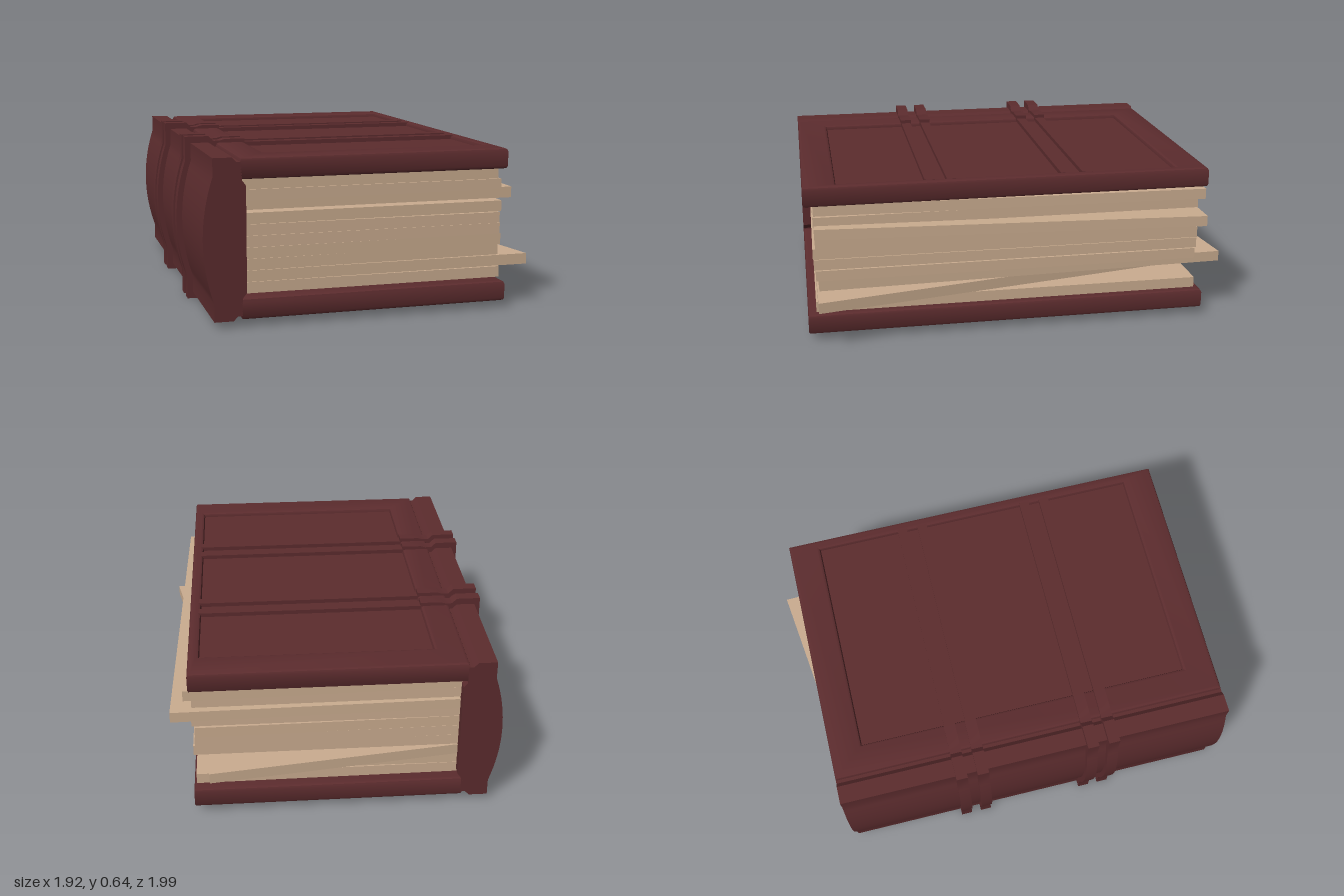
import * as THREE from 'three';
import { toCreasedNormals } from 'three/addons/utils/BufferGeometryUtils.js';

const MID = 0.3225; // middle height of the lying book
const LEN = 1.574; // length along the spine
const leather = new THREE.MeshStandardMaterial({ color: 0x5c2c2e });
const paper = new THREE.MeshStandardMaterial({ color: 0xcbad90 });

function add(parent, name, geometry, material) {
  const mesh = new THREE.Mesh(geometry, material);
  mesh.name = name;
  parent.add(mesh);
  return mesh;
}

function rectangle(Type, x0, x1, z) {
  return new Type([[x0, -z], [x1, -z], [x1, z], [x0, z]].map(p => new THREE.Vector2(...p)));
}

// Extrudes a profile in x and y along z, centred on the given z
function extrudeAlong(points, width, z) {
  const shape = new THREE.Shape(points.map(p => new THREE.Vector2(...p)));
  const geo = new THREE.ExtrudeGeometry(shape, { depth: width, bevelEnabled: false });
  geo.translate(0, MID, z - width / 2);
  return toCreasedNormals(geo, 0.4);
}

// A bulging back edge, from the top down
function bulge(x, depth, half, steps) {
  const pts = [];
  for (let i = 0; i <= steps; i++) {
    const t = 1 - 2 * i / steps;
    pts.push([x - depth * (1 - t * t), half * t]);
  }
  return pts;
}

// Cover board with a sunken panel and flat straps, outer face up
function coverBoard(name, bands) {
  const board = new THREE.Group();
  board.name = name;
  const x0 = -0.445, x1 = 0.583, bevel = 0.012, thick = 0.078;
  const outline = rectangle(THREE.Shape, x0, x1, LEN / 2);
  outline.holes.push(rectangle(THREE.Path, -0.33, 0.54, 0.66));
  const frame = new THREE.ExtrudeGeometry(outline, {
    depth: thick - 2 * bevel, bevelThickness: bevel, bevelSize: bevel,
    bevelOffset: -bevel, bevelSegments: 2,
  });
  frame.rotateX(-Math.PI / 2);
  frame.translate(0, 0.217 + bevel, 0);
  add(board, 'boardFrame', toCreasedNormals(frame, 0.5), leather);

  const panel = new THREE.BoxGeometry(0.9, 0.062, 1.35);
  panel.translate(0.105, 0.217 + 0.031, 0);
  add(board, 'sunkenPanel', panel, leather);

  for (const z of bands) {
    const strap = new THREE.BoxGeometry(0.89, 0.03, 0.04);
    strap.translate(0.105, 0.28, z);
    add(board, 'flatStrap', strap, leather);
  }
  return board;
}

// Block of pages: corners give the x and z of the fore edge, tilt lifts its ends
function pageBlock(y, height, near, far, tilt = 0) {
  const geo = new THREE.BoxGeometry(2, height, 2);
  const pos = geo.attributes.position;
  for (let i = 0; i < pos.count; i++) {
    const front = pos.getZ(i) > 0;
    const corner = front ? near : far;
    const fore = pos.getX(i) > 0;
    pos.setXYZ(i, fore ? corner[0] : -0.45,
      pos.getY(i) + y + (front ? tilt : -tilt),
      fore ? corner[1] : (front ? 0.75 : -0.75));
  }
  geo.computeVertexNormals();
  return geo;
}

export function createModel() {
  const model = new THREE.Group();
  const book = new THREE.Group();
  book.name = 'book';
  model.add(book);
  const bands = [-0.307, -0.222, 0.222, 0.307];

  // Rounded spine, with square shoulders and a hinge groove
  const spine = [
    [-0.44, 0.28], [-0.458, 0.28], [-0.475, 0.297], [-0.545, 0.297],
    ...bulge(-0.545, 0.038, 0.23, 16),
    [-0.545, -0.297], [-0.475, -0.297], [-0.458, -0.28], [-0.44, -0.28],
    [-0.44, -0.215], [-0.425, -0.195], [-0.425, 0.195], [-0.44, 0.215],
  ];
  add(book, 'spine', extrudeAlong(spine, LEN, 0), leather);

  // Raised bands wrapping the spine and gripping the boards
  const band = [
    [-0.33, 0.285], [-0.33, 0.309], [-0.41, 0.309], [-0.43, 0.303], [-0.455, 0.303],
    [-0.475, 0.322], [-0.567, 0.322],
    ...bulge(-0.567, 0.038, 0.23, 12),
    [-0.567, -0.322], [-0.475, -0.322], [-0.455, -0.303], [-0.43, -0.303],
    [-0.41, -0.309], [-0.33, -0.309], [-0.33, -0.285],
    [-0.5, -0.27], [-0.5, 0.27],
  ];
  for (const z of bands) add(book, 'spineBand', extrudeAlong(band, 0.045, z), leather);

  // Upper and lower boards
  const upper = coverBoard('upperBoard', bands);
  upper.position.y = MID;
  const lower = coverBoard('lowerBoard', bands);
  lower.position.y = MID;
  lower.rotation.x = Math.PI;
  book.add(upper, lower);

  // Page blocks, some of them slipped out of line
  const height = 0.0425;
  const slipped = {
    1: [[0.69, 0.747], [0.4, -0.745]],
    2: [[0.572, 0.74], [0.518, -0.875]],
    7: [[0.617, 0.75], [0.655, -0.765], 0.01],
    9: [[0.562, 0.75], [0.603, -0.772]],
  };
  for (let i = 0; i < 10; i++) {
    const jitter = 0.007 * Math.sin(i * 2.4);
    const [near, far, tilt] = slipped[i] ||
      [[0.572 + jitter, 0.755 - jitter], [0.572 + jitter, -0.755 + jitter]];
    add(book, 'pageBlock',
      pageBlock(0.115 + height * (i + 0.5), height - 0.001, near, far, tilt), paper);
  }

  // The book lies turned on the ground
  book.rotation.y = -0.632;
  book.position.set(-0.025, 0, -0.02);
  return model;
}
